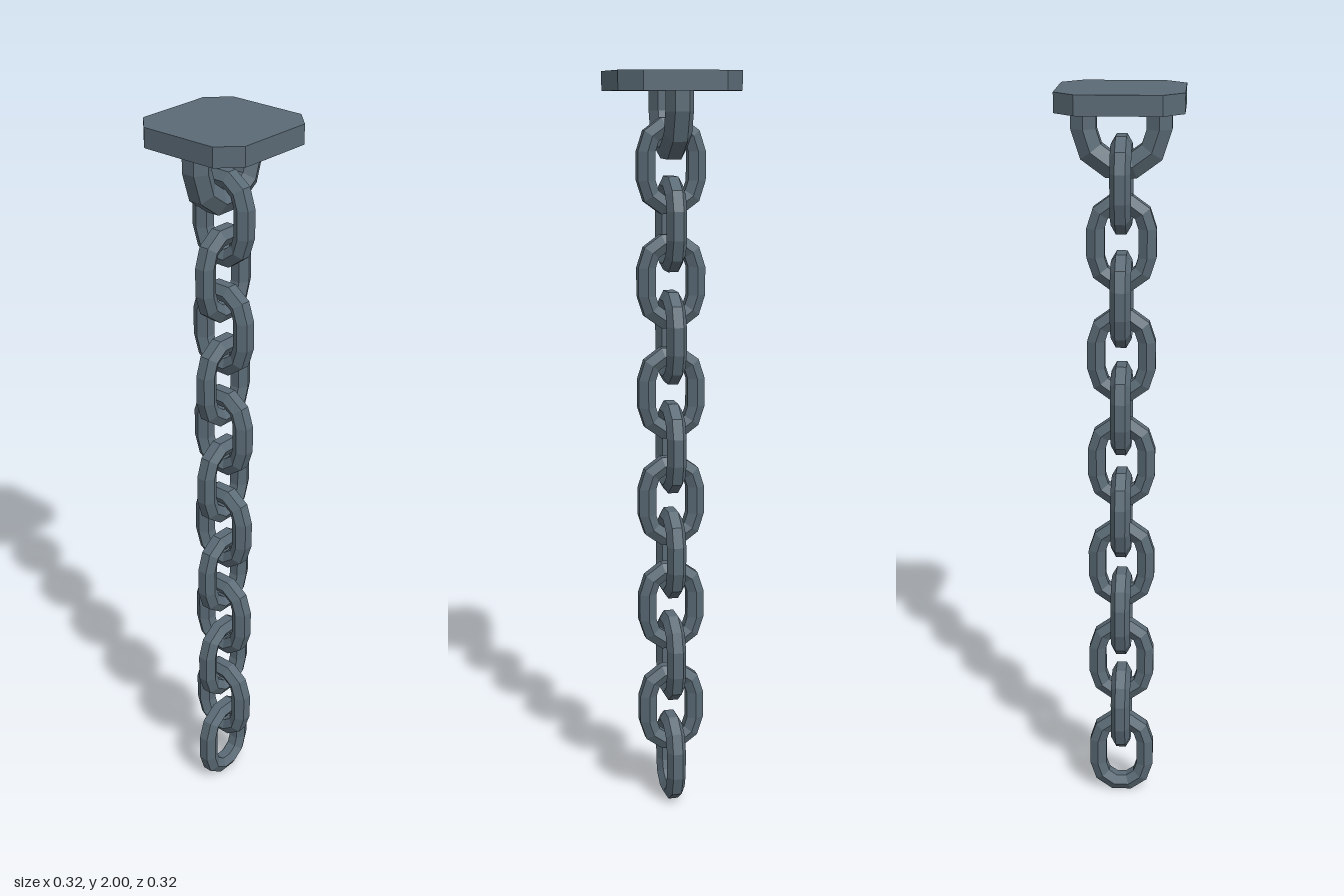
import * as THREE from 'three';

// Hexagonal bar swept through stations of [angle in degrees, vertical shift].
function hexBar(stations, outerR, r, closed) {
  const pos = [], idx = [], sides = 6;
  const mid = outerR - r * Math.cos(Math.PI / 6);
  for (const [deg, dy] of stations) {
    const a = THREE.MathUtils.degToRad(deg);
    for (let j = 0; j < sides; j++) {
      const t = Math.PI / 6 + (j * Math.PI) / 3;
      const rad = mid + r * Math.cos(t);
      pos.push(rad * Math.cos(a), rad * Math.sin(a) + dy, r * Math.sin(t));
    }
  }
  const n = stations.length;
  for (let i = 0; i < (closed ? n : n - 1); i++) {
    const k = (i + 1) % n;
    for (let j = 0; j < sides; j++) {
      const m = (j + 1) % sides;
      const a = i * sides + j, b = k * sides + j, c = k * sides + m, d = i * sides + m;
      idx.push(a, b, c, a, c, d);
    }
  }
  const indexed = new THREE.BufferGeometry();
  indexed.setAttribute('position', new THREE.Float32BufferAttribute(pos, 3));
  indexed.setIndex(idx);
  const geo = indexed.toNonIndexed();
  geo.computeVertexNormals();
  return geo;
}

export function createModel() {
  const group = new THREE.Group();
  const steel = new THREE.MeshStandardMaterial({ color: 0x5a6a75, flatShading: true });
  steel.name = 'blue grey steel';

  const add = (name, geo) => {
    const mesh = new THREE.Mesh(geo, steel);
    mesh.name = name;
    group.add(mesh);
    return mesh;
  };

  // Ceiling plate: square with cut corners
  const h = 0.16, c = 0.107;
  const outline = [[h, -c], [h, c], [c, h], [-c, h], [-h, c], [-h, -c], [-c, -h], [c, -h]];
  const shape = new THREE.Shape(outline.map(([x, y]) => new THREE.Vector2(x, y)));
  const plateGeo = new THREE.ExtrudeGeometry(shape, { depth: 0.05, bevelEnabled: false });
  plateGeo.rotateX(-Math.PI / 2);
  add('ceilingPlate', plateGeo).position.y = 1.95;

  // U-shaped shackle, its ends sunk into the plate
  const uBend = [[180, 0.06]];
  for (let a = 180; a <= 360; a += 36) uBend.push([a, 0]);
  uBend.push([360, 0.06]);
  add('shackle', hexBar(uBend, 0.127, 0.037, false)).position.y = 1.9;

  // Chain links, every second one turned a quarter
  const oval = [];
  for (let a = 0; a <= 180; a += 36) oval.push([a, 0.037]);
  for (let a = 180; a <= 360; a += 36) oval.push([a, -0.037]);
  const linkGeo = hexBar(oval, 0.09, 0.027, true);
  for (let i = 0; i < 12; i++) {
    const link = add(`chainLink${i + 1}`, linkGeo);
    link.position.y = 0.1226 + i * 0.149;
    link.rotation.y = i % 2 ? Math.PI / 2 : 0;
  }
  return group;
}
